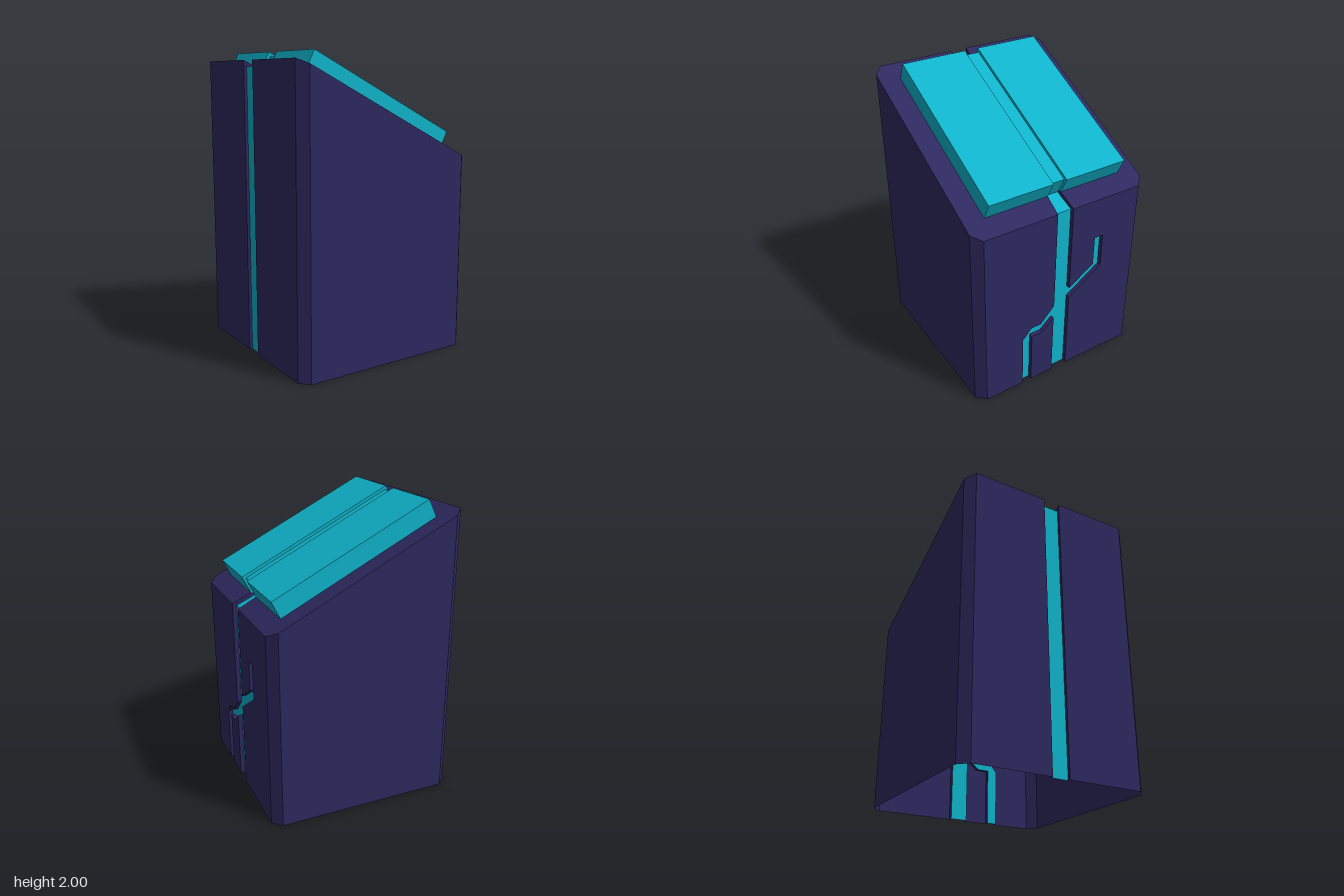
import * as THREE from 'three';

const W = 0.65, C = 0.59;              // half width, start of corner chamfer
const GROOVE = 0.06, DEPTH = 0.03;     // groove half width and depth
const FLOOR_R = 0.62, FLOOR_L = -0.63; // groove floors on the two side walls
const slope = (x) => 1.623 - 0.498 * x;

const dark = new THREE.MeshStandardMaterial({ color: 0x2e2960, side: THREE.DoubleSide, flatShading: true });
const cyan = new THREE.MeshStandardMaterial({ color: 0x10b4cc, side: THREE.DoubleSide, flatShading: true });

// Flat panel from a 2D outline, placed in space by map(u, v) -> [x, y, z]
function panel(name, outline, map, material) {
  const shape = new THREE.Shape(outline.map(([u, v]) => new THREE.Vector2(u, v)));
  const geo = new THREE.ShapeGeometry(shape).toNonIndexed();
  const p = geo.attributes.position;
  for (let i = 0; i < p.count; i++) p.setXYZ(i, ...map(p.getX(i), p.getY(i)));
  geo.computeVertexNormals();
  const mesh = new THREE.Mesh(geo, material);
  mesh.name = name;
  return mesh;
}

// Strip of quads between two rows of points
function ribbon(name, low, high, material) {
  const v = [];
  for (let i = 0; i < low.length - 1; i++) {
    v.push(...low[i], ...low[i + 1], ...high[i + 1], ...low[i], ...high[i + 1], ...high[i]);
  }
  const geo = new THREE.BufferGeometry();
  geo.setAttribute('position', new THREE.Float32BufferAttribute(v, 3));
  geo.computeVertexNormals();
  const mesh = new THREE.Mesh(geo, material);
  mesh.name = name;
  return mesh;
}

export function createModel() {
  const model = new THREE.Group();
  model.name = 'slopedBlock';
  const body = new THREE.Group();
  body.name = 'body';
  const inlay = new THREE.Group();
  inlay.name = 'inlay';
  const cap = new THREE.Group();
  cap.name = 'cap';
  model.add(body, inlay, cap);

  // Front and back walls with their corner chamfers; the bottom is open
  const front = [[-W, C], [-C, W], [C, W], [W, C]];
  for (const s of [1, -1]) {
    const row = front.map(([x, z]) => [x * s, z * s]);
    body.add(ribbon(s > 0 ? 'frontWall' : 'backWall',
      row.map(([x, z]) => [x, 0, z]), row.map(([x, z]) => [x, slope(x), z]), dark));
  }

  // Right wall (+x): outlines in (z, y), with each groove edge listed in order
  const top = slope(W);
  const edgeBack = [[-GROOVE, 0], [-GROOVE, 0.595], [-0.315, 0.765], [-0.315, 1.01],
    [-0.25, 1.01], [-0.25, 0.8], [-GROOVE, 0.675], [-GROOVE, top]];
  const edgeFront = [[GROOVE, top], [GROOVE, 0.575], [0.165, 0.465], [0.24, 0.465], [0.305, 0.39], [0.305, 0]];
  const edgeMid = [[0.235, 0], [0.235, 0.39], [0.15, 0.39], [GROOVE, 0.47], [GROOVE, 0]];
  const atX = (x) => (u, v) => [x, v, -u];
  const flip = (pts) => pts.map(([z, y]) => [-z, y]);
  const pieces = [
    [edgeBack, [[-C, top], [-C, 0]]],
    [edgeFront, [[C, 0], [C, top]]],
    [edgeMid, []],
  ];
  for (const [edge, rest] of pieces) {
    body.add(panel('grooved wall panel', flip([...edge, ...rest]), atX(W), dark));
    body.add(ribbon('groove side', edge.map(([z, y]) => [FLOOR_R, y, z]),
      edge.map(([z, y]) => [W, y, z]), dark));
  }

  // Coloured floors of the trunk groove and its two branches
  const floorTop = slope(FLOOR_R) - DEPTH;
  const trunk = (h) => [[-GROOVE, 0], [GROOVE, 0], [GROOVE, h], [-GROOVE, h]];
  inlay.add(panel('trunk', trunk(floorTop), atX(FLOOR_R), cyan));
  inlay.add(panel('upperBranch', flip(edgeBack.slice(1, 7)), atX(FLOOR_R), cyan));
  inlay.add(panel('lowerBranch', flip([...edgeFront.slice(1), ...edgeMid.slice(0, 4)]), atX(FLOOR_R), cyan));

  // Left wall (-x) with one straight groove
  const tall = slope(-W);
  for (const s of [1, -1]) {
    body.add(panel('leftWall', [[GROOVE * s, 0], [C * s, 0], [C * s, tall], [GROOVE * s, tall]],
      (u, v) => [-W, v, u], dark));
    body.add(ribbon('groove side', [[-W, 0, GROOVE * s], [FLOOR_L, 0, GROOVE * s]],
      [[-W, tall, GROOVE * s], [FLOOR_L, slope(FLOOR_L), GROOVE * s]], dark));
  }
  inlay.add(panel('leftTrunk', trunk(slope(FLOOR_L) - DEPTH), (u, v) => [FLOOR_L, v, u], cyan));

  // Sloped top in two halves, its groove narrowing towards the cap
  const lip = [[-W, GROOVE], [-0.525, 0.05], [0.525, 0.05], [W, GROOVE]];
  for (const s of [1, -1]) {
    const half = [...lip, [W, C], [C, W], [-C, W], [-W, C]].map(([x, z]) => [x, -z * s]);
    body.add(panel('slopedTop', half, (u, v) => [u, slope(u), -v], dark));
    body.add(ribbon('top groove side',
      lip.map(([x, z]) => {
        const fx = THREE.MathUtils.clamp(x, FLOOR_L, FLOOR_R);
        return [fx, slope(fx) - DEPTH, z * s];
      }),
      lip.map(([x, z]) => [x, slope(x), z * s]), dark));
  }
  const run = lip.map(([x, z]) => [THREE.MathUtils.clamp(x, FLOOR_L, FLOOR_R), z]);
  const runOutline = [...run, ...run.map(([x, z]) => [x, -z]).reverse()];
  inlay.add(panel('topGrooveFloor', runOutline, (u, v) => [u, slope(u) - DEPTH, -v], cyan));

  // Tilted cap: two slabs and a slightly sunken strip between them
  cap.position.set(0.025, 1.68, 0);
  cap.rotation.z = -Math.atan(0.5);
  const slab = (name, length, width, y, z) => {
    const mesh = new THREE.Mesh(new THREE.BoxGeometry(length, 0.13, width), cyan);
    mesh.name = name;
    mesh.position.set(0, y, z);
    cap.add(mesh);
  };
  slab('frontSlab', 1.174, 0.46, 0, 0.28);
  slab('backSlab', 1.174, 0.46, 0, -0.28);
  slab('middleStrip', 1.134, 0.1, -0.02, 0);

  return model;
}
